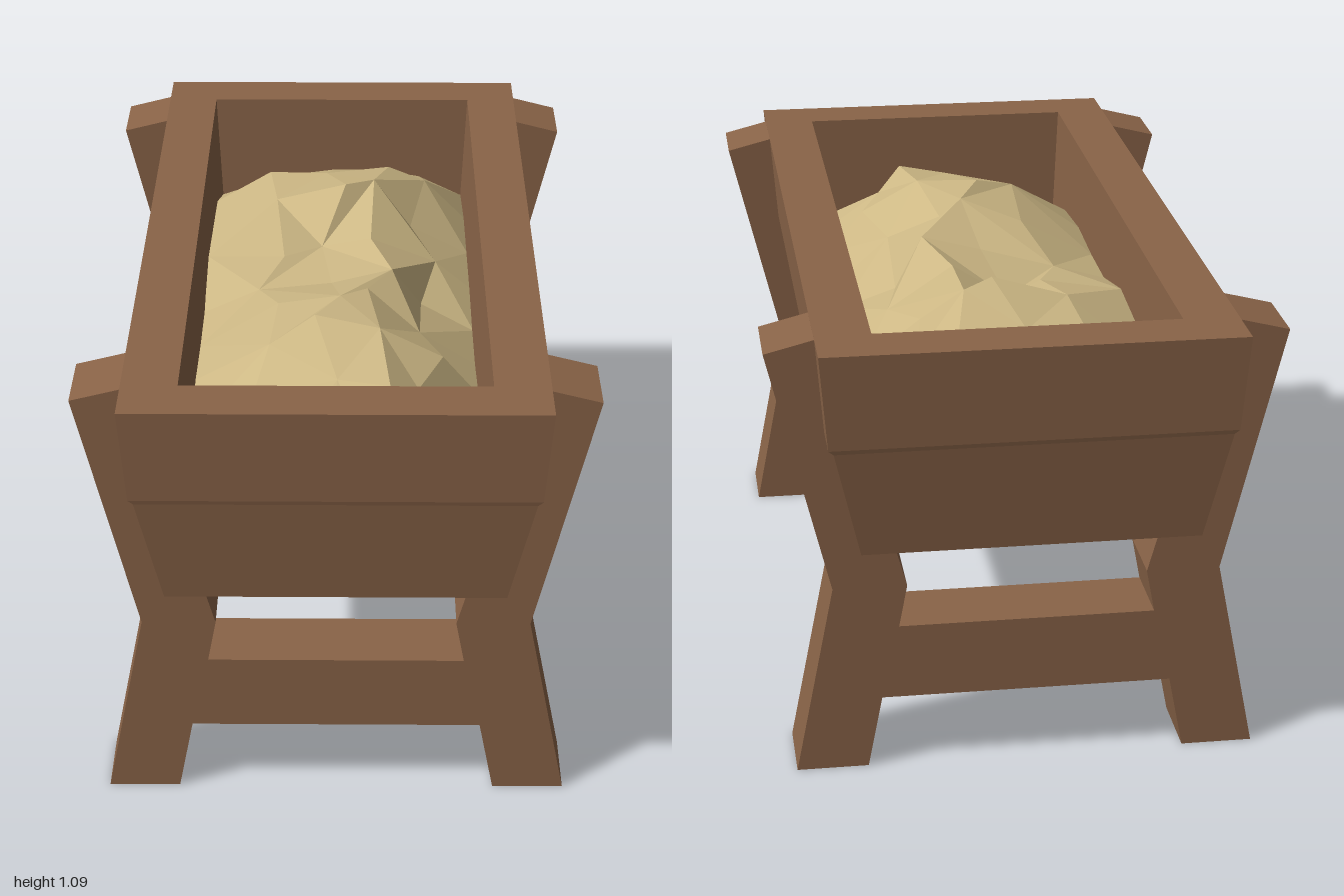
import * as THREE from 'three';

const wood = new THREE.MeshStandardMaterial({ color: 0x8a6448 });
wood.name = 'wood';
const hay = new THREE.MeshStandardMaterial({ color: 0xcdb885 });
hay.name = 'hay';

function flatMesh(name, positions, indices, material) {
  const indexed = new THREE.BufferGeometry();
  indexed.setAttribute('position', new THREE.Float32BufferAttribute(positions, 3));
  indexed.setIndex(indices);
  const geometry = indexed.toNonIndexed(); // separate corners give faceted normals
  geometry.computeVertexNormals();
  const mesh = new THREE.Mesh(geometry, material);
  mesh.name = name;
  return mesh;
}

// Hollow box lofted through rectangular rings: up the outside, over the rim, down the inside
function createTrough() {
  const rings = [ // half width, height, half length
    [0.395, 0.59, 0.96], [0.455, 0.853, 0.989], [0.467, 0.863, 0.991],
    [0.485, 1.09, 1.0], [0.355, 1.09, 0.865], [0.335, 0.68, 0.85],
  ];
  const positions = [], indices = [];
  for (const [w, y, l] of rings) positions.push(-w, y, l, w, y, l, w, y, -l, -w, y, -l);
  for (let r = 0; r < rings.length - 1; r++) {
    for (let i = 0; i < 4; i++) {
      const a = r * 4 + i, b = r * 4 + (i + 1) % 4;
      indices.push(a, b, b + 4, a, b + 4, a + 4);
    }
  }
  const f = (rings.length - 1) * 4;
  indices.push(0, 2, 1, 0, 3, 2, f, f + 1, f + 2, f, f + 2, f + 3); // underside and floor
  return flatMesh('trough', positions, indices, wood);
}

// Pair of bent legs joined by a crossbar, cut as one flat frame
function createLegFrame(z) {
  const half = [ // right half, from under the crossbar round to its top
    [0.345, 0.18], [0.38, 0], [0.55, 0], [0.457, 0.47], [0.6, 1.06], [0.485, 1.089],
    [0.45, 1.085], [0.37, 0.7], [0.316, 0.59], [0.283, 0.47], [0.303, 0.365],
  ];
  const mirrored = half.map(([x, y]) => [-x, y]).reverse();
  const shape = new THREE.Shape([...half, ...mirrored].map(([x, y]) => new THREE.Vector2(x, y)));
  const geometry = new THREE.ExtrudeGeometry(shape, { depth: 0.18, bevelEnabled: false });
  geometry.translate(0, 0, z - 0.09);
  const mesh = new THREE.Mesh(geometry, wood);
  mesh.name = z > 0 ? 'frontLegs' : 'backLegs';
  return mesh;
}

// Lumpy faceted heap with two humps and a dip between them
function createHay() {
  const xs = [-0.345, -0.17, -0.02, 0.1, 0.22, 0.345];
  const rows = [ // z, then heights across x
    [-0.857, 0.80, 0.86, 0.88, 0.88, 0.86, 0.80],
    [-0.63, 0.88, 0.95, 0.98, 0.98, 0.94, 0.83],
    [-0.40, 0.90, 0.99, 1.04, 1.03, 0.93, 0.83],
    [-0.18, 0.92, 0.94, 0.93, 0.99, 0.90, 0.83],
    [0.05, 0.87, 0.92, 0.96, 1.00, 0.88, 0.82],
    [0.24, 0.87, 0.98, 1.03, 1.01, 0.93, 0.82],
    [0.44, 0.88, 1.00, 1.04, 1.03, 0.95, 0.84],
    [0.66, 0.86, 0.94, 0.99, 1.00, 0.95, 0.83],
    [0.857, 0.80, 0.83, 0.85, 0.85, 0.84, 0.80],
  ];
  const positions = [], indices = [], n = xs.length;
  rows.forEach(([z, ...heights], r) => heights.forEach((y, c) => {
    const inner = c > 0 && c < n - 1 && r > 0 && r < rows.length - 1;
    const dx = inner ? 0.035 * Math.sin(r * 2.3 + c * 1.7) : 0;
    const dz = inner ? 0.045 * Math.sin(r * 1.9 + c * 2.6) : 0;
    positions.push(xs[c] + dx, y, z + dz);
  }));
  for (let r = 0; r < rows.length - 1; r++) {
    for (let c = 0; c < n - 1; c++) {
      const a = r * n + c, b = a + 1, d = a + n, e = d + 1;
      if ((r + c) % 2) indices.push(a, d, e, a, e, b);
      else indices.push(a, d, b, b, d, e);
    }
  }
  return flatMesh('hay', positions, indices, hay);
}

export function createModel() {
  const model = new THREE.Group();
  model.name = 'hayTrough';
  model.add(createTrough(), createLegFrame(0.795), createLegFrame(-0.795), createHay());
  return model;
}
